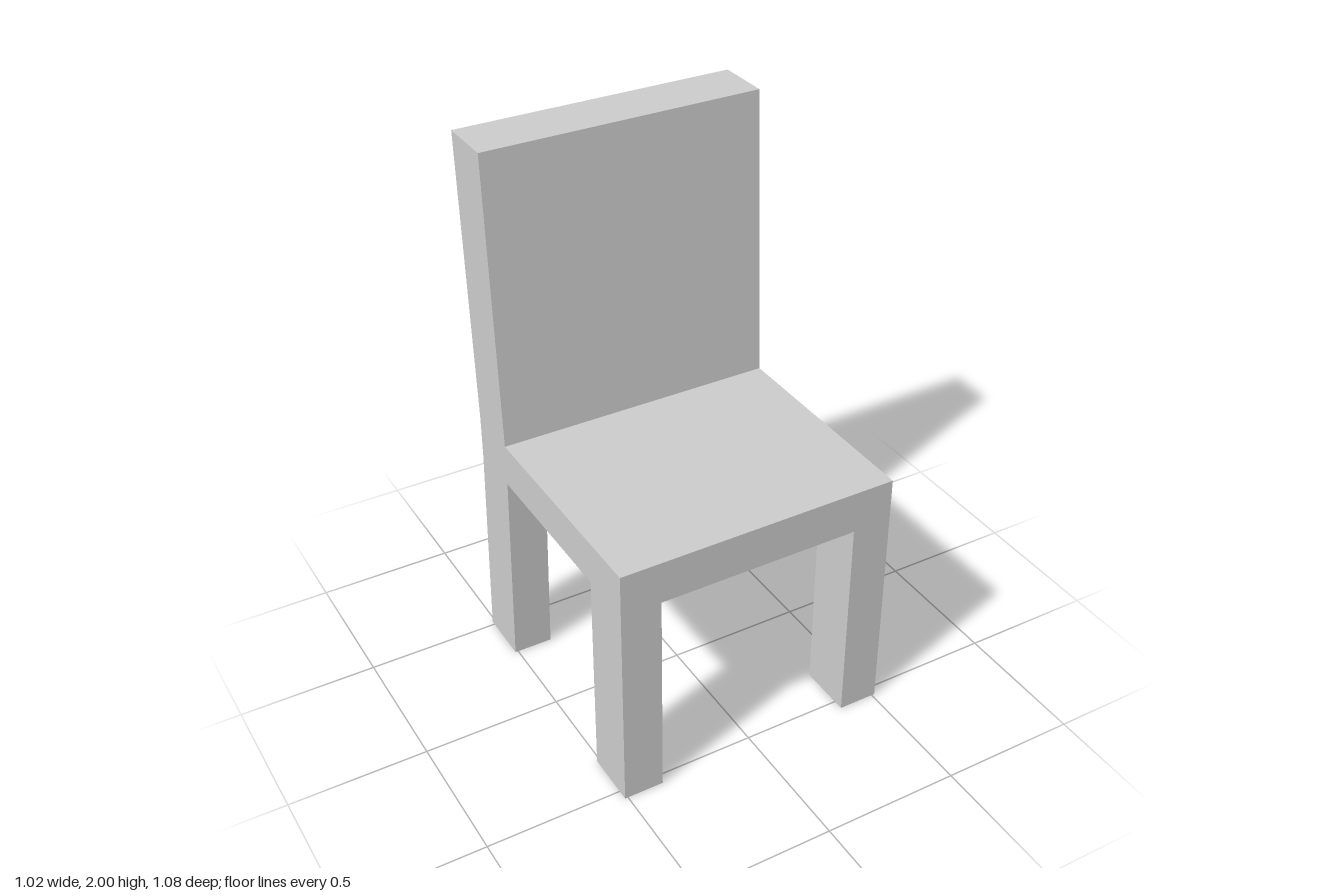
import * as THREE from 'three';

const HALF_WIDTH = 0.511, LEG_WIDTH = 0.145;
const SEAT_TOP = 0.943, SEAT_BOTTOM = 0.787;

const material = new THREE.MeshStandardMaterial({ color: 0xcccccc, flatShading: true });

// Extrudes a side profile of [z, y] points across x, centred on the given x
function slab(name, profile, width, x = 0) {
  const shape = new THREE.Shape(profile.map(([z, y]) => new THREE.Vector2(z, y)));
  const geometry = new THREE.ExtrudeGeometry(shape, { depth: width, bevelEnabled: false });
  geometry.translate(0, 0, -width / 2).rotateY(-Math.PI / 2);
  const mesh = new THREE.Mesh(geometry, material);
  mesh.name = name;
  mesh.position.x = x;
  return mesh;
}

export function createModel() {
  const chair = new THREE.Group();
  chair.name = 'chair';

  // Seat and leaning backrest share one continuous side profile
  chair.add(slab('seatAndBackrest', [
    [0.538, SEAT_BOTTOM], [0.538, SEAT_TOP], [-0.282, SEAT_TOP], [-0.336, 2],
    [-0.538, 2], [-0.482, SEAT_TOP], [-0.482, SEAT_BOTTOM],
  ], HALF_WIDTH * 2));

  // Straight front legs and splayed back legs, mirrored left and right
  const frontLeg = [[0.336, 0], [0.538, 0], [0.538, SEAT_BOTTOM], [0.336, SEAT_BOTTOM]];
  const backLeg = [[-0.517, 0], [-0.315, 0], [-0.282, SEAT_BOTTOM], [-0.482, SEAT_BOTTOM]];
  for (const [side, sign] of [['Left', 1], ['Right', -1]]) {
    const x = sign * (HALF_WIDTH - LEG_WIDTH / 2);
    chair.add(slab('frontLeg' + side, frontLeg, LEG_WIDTH, x));
    chair.add(slab('backLeg' + side, backLeg, LEG_WIDTH, x));
  }
  return chair;
}
